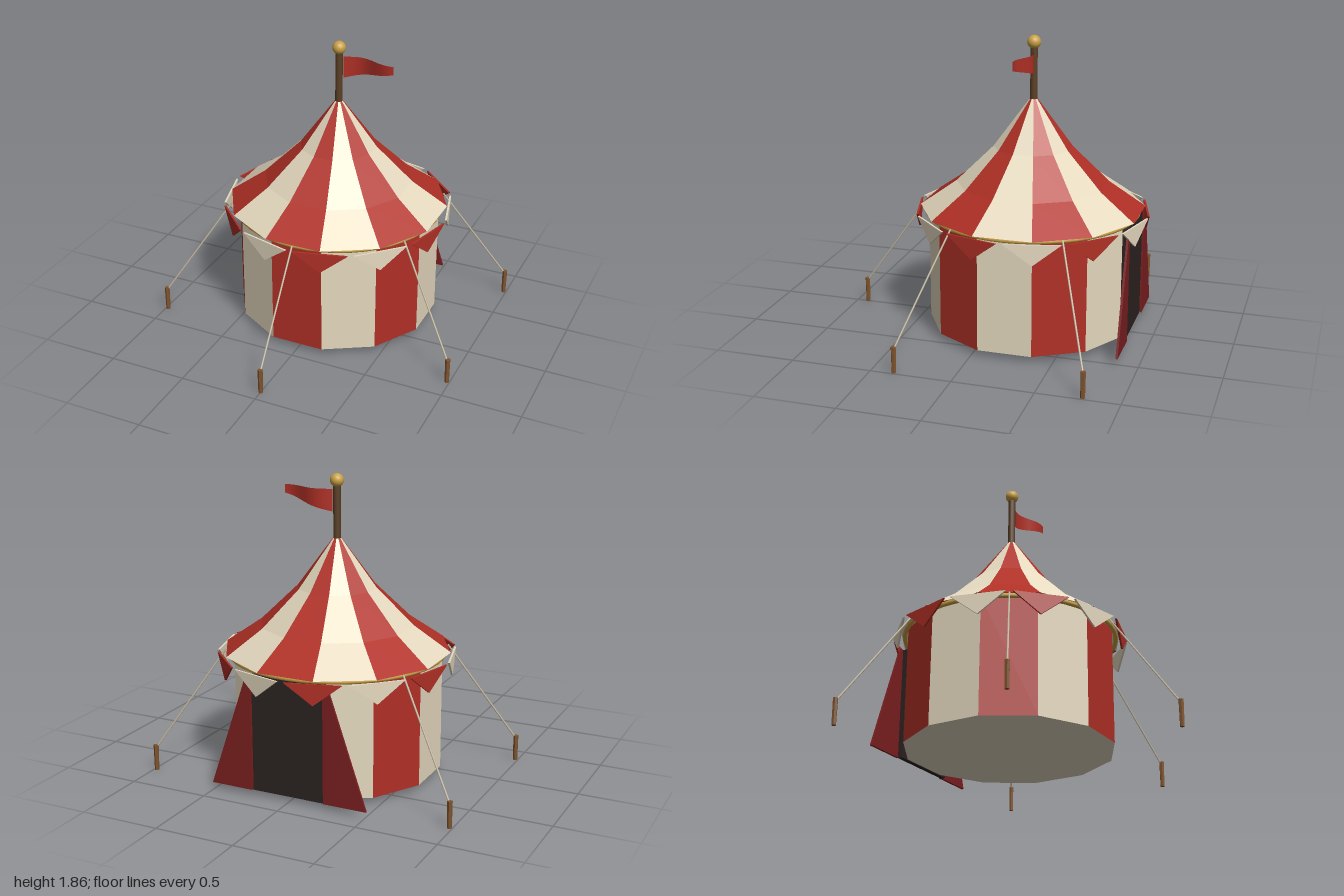
import * as THREE from 'three';

const paint = (name, color) => {
  const m = new THREE.MeshStandardMaterial({ color });
  m.name = name;
  return m;
};

// Flat facets with hard edges
const facet = (geometry) => {
  const g = geometry.index ? geometry.toNonIndexed() : geometry;
  g.computeVertexNormals();
  return g;
};

export function createModel() {
  const red = paint('canvas red', 0xb03026);
  const cream = paint('canvas cream', 0xe6dac0);
  const darkRed = paint('flap dark red', 0x7c1f20);
  const dark = paint('doorway dark', 0x2c2322);
  const gold = paint('gold', 0xc9a045);
  const poleBrown = paint('pole brown', 0x5c4026);
  const stakeBrown = paint('stake brown', 0x80552f);
  const ropeTan = paint('rope', 0xc4baa2);
  red.side = cream.side = darkRed.side = THREE.DoubleSide;

  const model = new THREE.Group();
  model.name = 'stripedTent';
  const tent = new THREE.Group();
  tent.name = 'tent';
  tent.position.z = -0.21;
  model.add(tent);

  const add = (name, geometry, material, x = 0, y = 0, z = 0) => {
    const mesh = new THREE.Mesh(geometry, material);
    mesh.name = name;
    mesh.position.set(x, y, z);
    tent.add(mesh);
    return mesh;
  };

  const SIDES = 12;
  const STEP = (Math.PI * 2) / SIDES;
  const points = (list) => list.map(([r, y]) => new THREE.Vector2(r, y));
  const wallProfile = points([[0.65, 0.04], [0.65, 0.78]]);
  const roofProfile = points([[0.703, 0.782], [0.476, 0.94], [0.245, 1.165], [0.025, 1.465]]);

  // Pennant shape hanging from the eave
  const pennantShape = new THREE.Shape(points([[-0.17, 0.77], [0, 0.64], [0.17, 0.77]]));
  const pennantGeometry = new THREE.ExtrudeGeometry(pennantShape, { depth: 0.012, bevelEnabled: false });
  pennantGeometry.translate(0, 0, 0.704);

  // Striped wall and roof panels, with a pennant at every corner
  for (let i = 0; i < SIDES; i++) {
    const stripe = i % 2 ? cream : red;
    const start = (i - 0.5) * STEP;
    add('wallPanel', facet(new THREE.LatheGeometry(wallProfile, 1, start, STEP)), stripe);
    add('roofPanel', facet(new THREE.LatheGeometry(roofProfile, 1, start, STEP)), stripe);
    add('pennant', pennantGeometry, stripe).rotation.y = (i + 0.5) * STEP;
  }

  // Floor and eave ring
  const floor = new THREE.CircleGeometry(0.65, SIDES, STEP / 2);
  floor.rotateX(Math.PI / 2);
  add('floor', floor, cream, 0, 0.04, 0);
  const rim = new THREE.TorusGeometry(0.662, 0.015, 8, 48);
  rim.rotateX(Math.PI / 2);
  add('eaveRing', rim, gold, 0, 0.771, 0);

  // Doorway at the back with a drawn flap on each side
  add('doorway', new THREE.BoxGeometry(0.48, 0.72, 0.03), dark, 0, 0.396, -0.637);
  for (const s of [-1, 1]) {
    const shape = new THREE.Shape(points([[s * 0.235, 0.04], [s * 0.51, 0.04], [s * 0.265, 0.755], [s * 0.235, 0.755]]));
    const flap = new THREE.ExtrudeGeometry(shape, { depth: 0.014, bevelEnabled: false });
    add('doorFlap', flap, darkRed, 0, 0, -0.667);
  }

  // Pole with a ball on top
  add('pole', new THREE.CylinderGeometry(0.023, 0.023, 0.36, 12), poleBrown, 0, 1.62, 0);
  add('poleBall', new THREE.SphereGeometry(0.042, 20, 14), gold, 0, 1.815, 0);

  // Waving, tapering flag
  const flag = new THREE.PlaneGeometry(1, 1, 20, 1);
  const p = flag.attributes.position;
  for (let i = 0; i < p.count; i++) {
    const t = p.getX(i) + 0.5;
    const y = p.getY(i) > 0 ? 1.76 : 1.622 + 0.085 * t;
    p.setXYZ(i, 0.03 + 0.34 * t, y, -0.031 * Math.sin(t * 5.2));
  }
  flag.computeVertexNormals();
  add('flag', flag, red);

  // Guy ropes and stakes, leaving the doorway clear
  for (let i = -2; i <= 2; i++) {
    const a = (i * Math.PI) / 3;
    const at = (r, y) => new THREE.Vector3(r * Math.sin(a), y, r * Math.cos(a));
    const foot = at(1.135, 0.0825);
    add('stake', facet(new THREE.CylinderGeometry(0.016, 0.014, 0.165, 6)), stakeBrown, foot.x, foot.y, foot.z);
    const line = new THREE.LineCurve3(at(0.685, 0.78), at(1.135, 0.145));
    add('guyRope', new THREE.TubeGeometry(line, 1, 0.006, 6), ropeTan);
  }

  return model;
}
